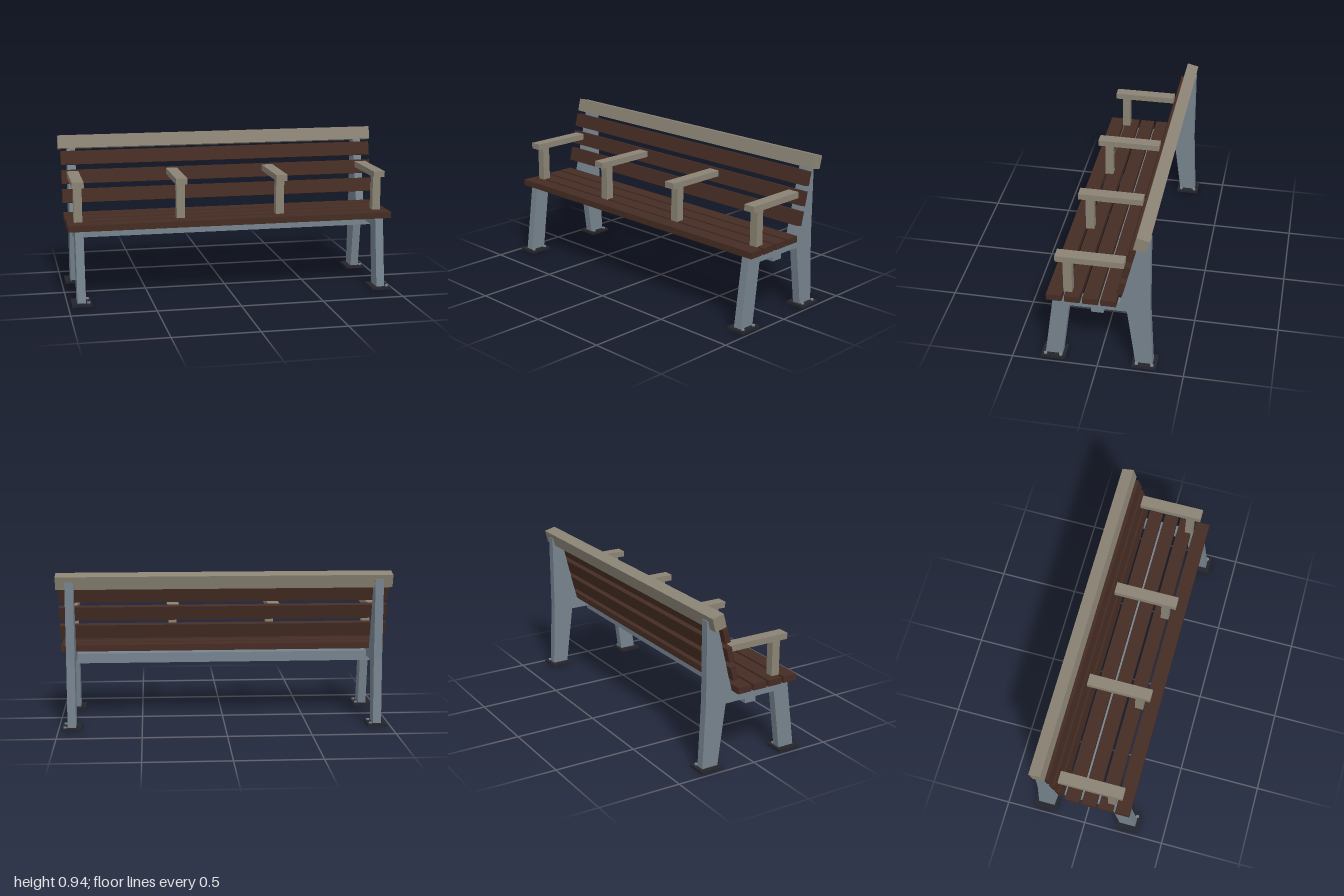
import * as THREE from 'three';

const mat = (name, color) => {
  const m = new THREE.MeshStandardMaterial({ color });
  m.name = name;
  return m;
};

export function createModel() {
  const bench = new THREE.Group();
  bench.name = 'bench';
  const steel = mat('blue grey steel', 0x76838e);
  const wood = mat('dark brown wood', 0x452c23);
  const taupe = mat('taupe wood', 0x8b8475);
  const black = mat('black rubber', 0x24242b);

  const box = (name, material, size, pos, tilt = 0) => {
    const mesh = new THREE.Mesh(new THREE.BoxGeometry(...size), material);
    mesh.name = name;
    mesh.position.set(...pos);
    mesh.rotation.x = tilt;
    bench.add(mesh);
    return mesh;
  };

  // Side frames: one profile in (z, y), extruded across x
  const profile = [
    [0.314, 0.016], [0.256, 0.44], [-0.123, 0.44], [-0.235, 0.89], [-0.295, 0.89],
    [-0.295, 0.42], [-0.314, 0.016], [-0.213, 0.016], [-0.165, 0.382], [0.165, 0.382], [0.213, 0.016],
  ];
  const frameGeo = new THREE.ExtrudeGeometry(
    new THREE.Shape(profile.map(([z, y]) => new THREE.Vector2(z, y))),
    { depth: 0.05, bevelEnabled: false });
  frameGeo.translate(0, 0, -0.025).rotateY(-Math.PI / 2);

  const boltGeo = new THREE.CylinderGeometry(0.01, 0.01, 0.008, 12);
  for (const x of [-0.92, 0.92]) {
    const frame = new THREE.Mesh(frameGeo, steel);
    frame.name = 'sideFrame';
    frame.position.x = x;
    bench.add(frame);

    // Foot plates with their bolts
    for (const s of [-1, 1]) {
      box('footPlate', black, [0.118, 0.016, 0.142], [x, 0.008, s * 0.266]);
      for (const z of [0.222, 0.312]) {
        const bolt = new THREE.Mesh(boltGeo, steel);
        bolt.name = 'footBolt';
        bolt.position.set(x + 0.04, 0.02, s * z);
        bench.add(bolt);
      }
    }
  }

  // Beam joining the frames under the seat
  box('crossBeam', steel, [1.88, 0.06, 0.072], [0, 0.38, 0.006]);

  // Seat slats
  for (let i = 0; i < 4; i++) {
    box('seatSlat', wood, [1.974, 0.038, 0.088], [0, 0.459, 0.2425 - i * 0.103]);
  }

  // Leaning back slats and top rail
  const lean = -0.245;
  for (let i = 0; i < 3; i++) {
    box('backSlat', wood, [1.974, 0.085, 0.034], [0, 0.573 + i * 0.1135, -0.14 - i * 0.0275], lean);
  }
  box('topRail', taupe, [2, 0.08, 0.073], [0, 0.89, -0.252], lean);

  // Armrests on posts
  for (const x of [-0.92, -0.306, 0.306, 0.92]) {
    box('armrest', taupe, [0.07, 0.037, 0.387], [x, 0.7065, 0.0435]);
    box('armPost', taupe, [0.05, 0.214, 0.05], [x, 0.582, 0.17]);
  }

  return bench;
}
